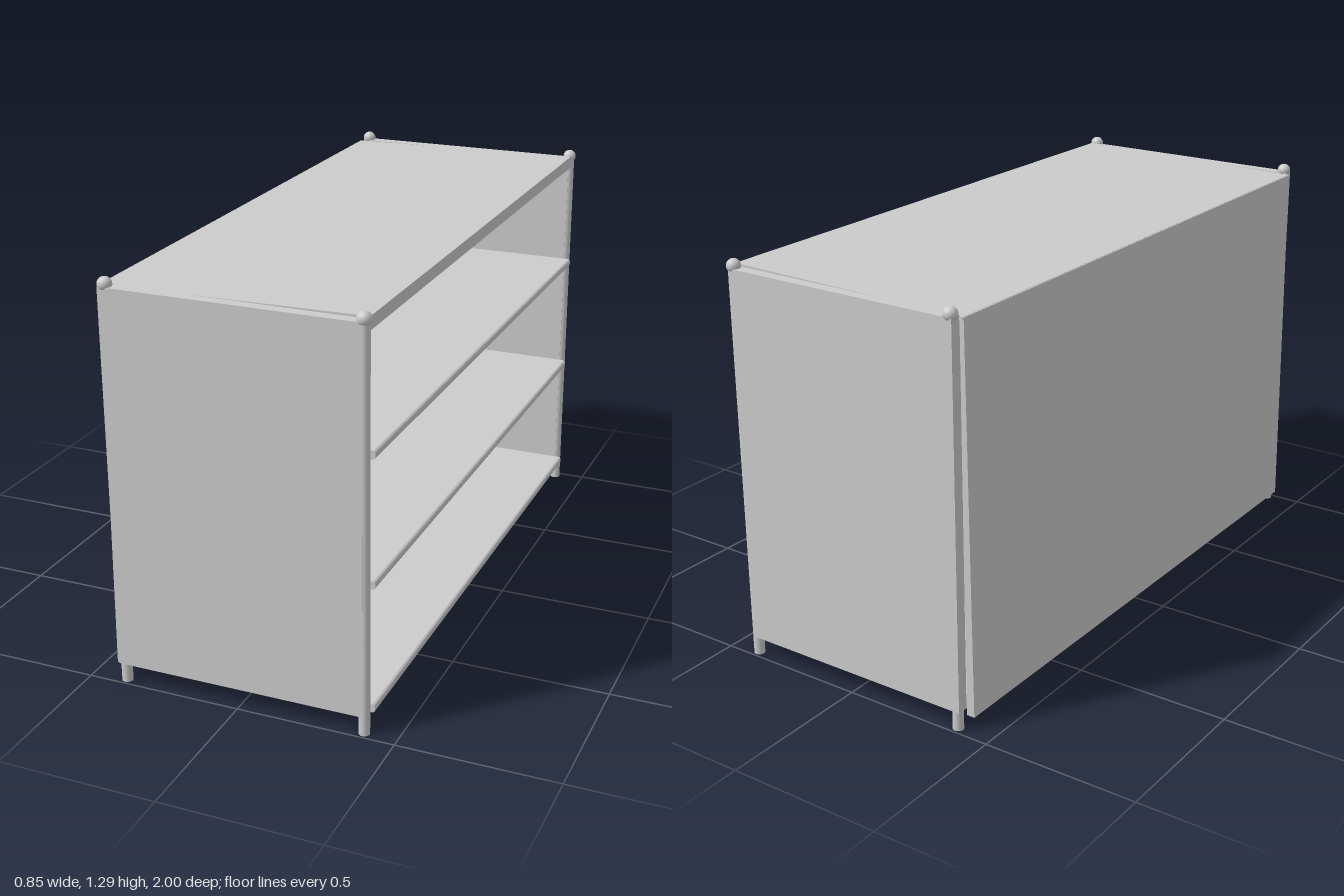
import * as THREE from 'three';

const grey = new THREE.MeshStandardMaterial({ color: 0xcccccc });

export function createModel() {
  const model = new THREE.Group();
  model.name = 'shelfUnit';

  const add = (name, geometry, x = 0, y = 0, z = 0) => {
    const mesh = new THREE.Mesh(geometry, grey);
    mesh.name = name;
    mesh.position.set(x, y, z);
    model.add(mesh);
  };

  // Board with an [x, y] outline, running the given length along z
  const board = (name, points, length) => {
    const shape = new THREE.Shape(points.map(([x, y]) => new THREE.Vector2(x, y)));
    const geometry = new THREE.ExtrudeGeometry(shape, { depth: length, bevelEnabled: false });
    add(name, geometry, 0, 0, -length / 2);
  };

  // Corner posts with ball finials
  for (const x of [-0.384, 0.398]) {
    for (const z of [-0.976, 0.976]) {
      add('post', new THREE.CylinderGeometry(0.017, 0.017, 1.265, 24), x, 0.6325, z);
      add('ballFinial', new THREE.SphereGeometry(0.022, 24, 16), x, 1.268, z);
    }
  }

  // End panels between the posts
  for (const side of [-1, 1]) {
    add('endPanel', new THREE.BoxGeometry(0.8, 1.2, 0.036), 0, 0.662, side * 0.975);
  }

  // Slightly sloping top
  board('topPanel', [[-0.41, 1.218], [0.408, 1.23], [0.408, 1.27], [-0.41, 1.258]], 1.916);

  // Back panel, leaning slightly outwards at the foot
  board('backPanel', [[-0.428, 0.04], [-0.402, 0.04], [-0.397, 1.257], [-0.414, 1.257]], 1.914);

  // Three shelves with softened front edges
  for (const y of [0.063, 0.462, 0.86]) {
    board('shelf', [
      [-0.404, y], [0.416, y], [0.421, y + 0.003], [0.423, y + 0.008],
      [0.423, y + 0.018], [0.421, y + 0.023], [0.416, y + 0.026], [-0.404, y + 0.026],
    ], 1.914);
  }

  return model;
}
